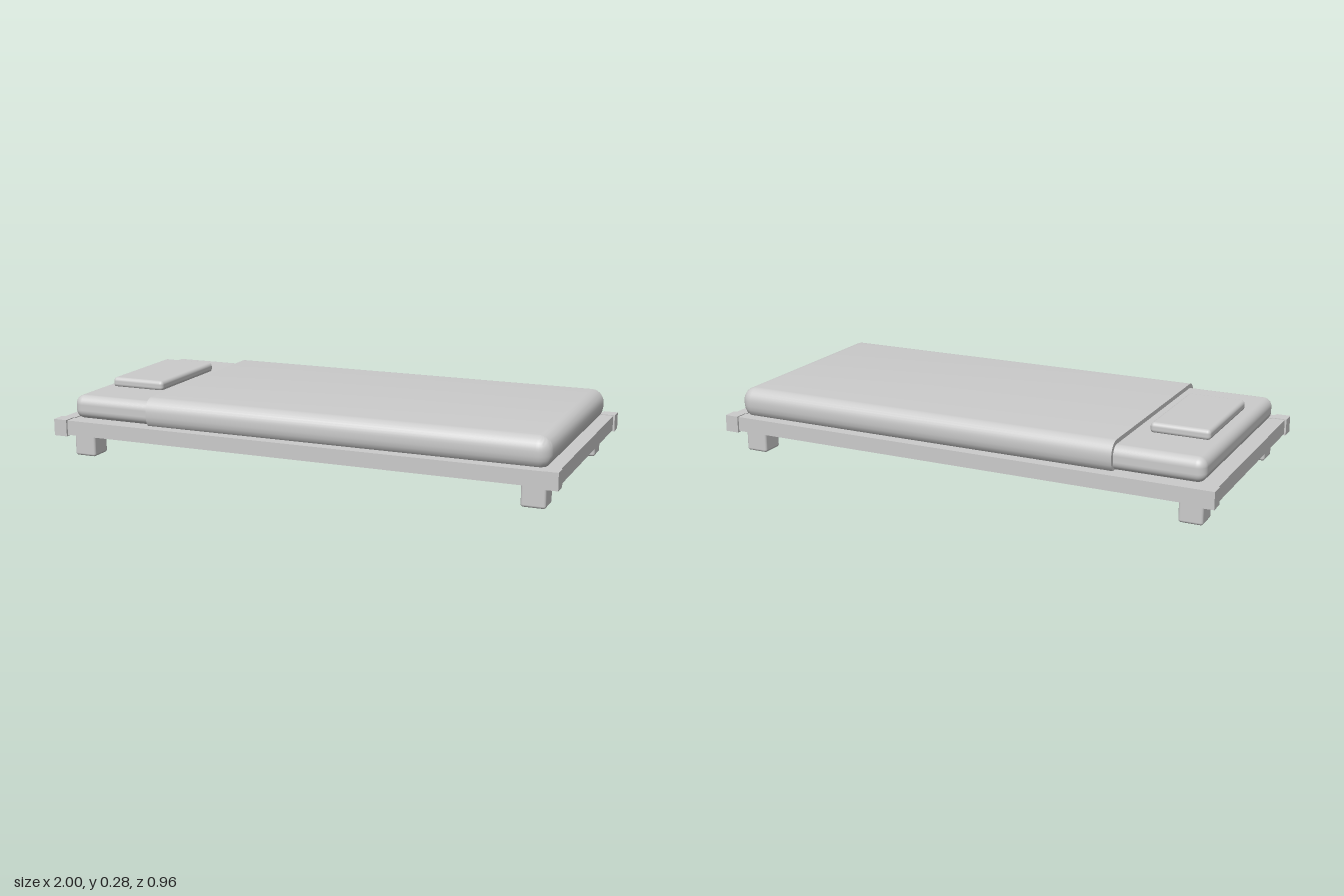
import * as THREE from 'three';
import { toCreasedNormals } from 'three/addons/utils/BufferGeometryUtils.js';
import { RoundedBoxGeometry } from 'three/addons/geometries/RoundedBoxGeometry.js';

const material = new THREE.MeshStandardMaterial({ color: 0xcccccc });

// Box given by its minimum and maximum corners; a radius rounds its edges
function box(name, [x0, y0, z0], [x1, y1, z1], radius = 0) {
  const size = [x1 - x0, y1 - y0, z1 - z0];
  const geometry = radius
    ? new RoundedBoxGeometry(...size, 5, radius)
    : new THREE.BoxGeometry(...size);
  const mesh = new THREE.Mesh(geometry, material);
  mesh.name = name;
  mesh.position.set((x0 + x1) / 2, (y0 + y1) / 2, (z0 + z1) / 2);
  return mesh;
}

// Blanket: stacked outlines, rounded at the foot and cut flat at the head
function blanketGeometry(head, foot, halfWidth) {
  const radius = 0.05, steps = 8, top = 0.256;
  const profile = [[0.018, 0.148], [0.009, 0.158], [0.003, 0.172], [0, 0.188]];
  for (let i = 0; i <= steps; i++) {
    const a = (i / steps) * Math.PI / 2;
    profile.push([radius * (1 - Math.cos(a)), top - radius + radius * Math.sin(a)]);
  }

  const positions = [], indices = [];
  const count = 2 * (steps + 1) + 2;
  for (const [inset, y] of profile) {
    const r = radius - inset;
    for (const side of [-1, 1]) {
      for (let i = 0; i <= steps; i++) {
        const a = (i / steps + (side < 0 ? -1 : 0)) * Math.PI / 2;
        positions.push(foot - radius + r * Math.cos(a), y,
          side * (halfWidth - radius) + r * Math.sin(a));
      }
    }
    positions.push(head, y, halfWidth - inset, head, y, -halfWidth + inset);
  }
  for (let j = 0; j < profile.length - 1; j++) {
    for (let i = 0; i < count; i++) {
      const a = j * count + i, b = j * count + (i + 1) % count;
      indices.push(a, a + count, b, b, a + count, b + count);
    }
  }
  // Flat top
  const centre = positions.length / 3, last = (profile.length - 1) * count;
  positions.push((head + foot) / 2, top, 0);
  for (let i = 0; i < count; i++) indices.push(centre, last + (i + 1) % count, last + i);

  const geometry = new THREE.BufferGeometry();
  geometry.setAttribute('position', new THREE.Float32BufferAttribute(positions, 3));
  geometry.setIndex(indices);
  return toCreasedNormals(geometry, 0.7);
}

export function createModel() {
  const bed = new THREE.Group();
  bed.name = 'bed';

  // Frame: base panel, four rails, corner blocks and feet
  const frame = new THREE.Group();
  frame.name = 'frame';
  frame.add(box('basePanel', [-0.95, 0.095, -0.43], [0.95, 0.146, 0.43]));
  for (const s of [-1, 1]) {
    const side = s < 0 ? 'right' : 'left';
    const z = [s * 0.425, s * 0.471].sort((a, b) => a - b);
    const x = [s * 0.945, s * 0.993].sort((a, b) => a - b);
    frame.add(box(s < 0 ? 'backRail' : 'frontRail', [-0.945, 0.092, z[0]], [0.945, 0.149, z[1]]));
    frame.add(box(side + 'EndRail', [x[0], 0.092, -0.425], [x[1], 0.149, 0.425]));
    for (const t of [-1, 1]) {
      const end = t < 0 ? 'Back' : 'Front';
      const block = box(side + end + 'CornerBlock', [-0.0275, 0.087, -0.0275], [0.0275, 0.152, 0.0275]);
      block.position.x = s * 0.9725;
      block.position.z = t * 0.4515;
      const foot = box(side + end + 'Foot', [-0.045, 0, -0.0465], [0.045, 0.105, 0.0465], 0.01);
      foot.position.x = s * 0.9;
      foot.position.z = t * 0.3785;
      frame.add(block, foot);
    }
  }
  bed.add(frame);

  // Bedding
  bed.add(box('mattress', [-0.945, 0.147, -0.425], [0.93, 0.239, 0.425], 0.035));
  bed.add(box('pillow', [-0.893, 0.235, -0.215], [-0.667, 0.275, 0.215], 0.015));
  const blanket = new THREE.Mesh(blanketGeometry(-0.612, 0.958, 0.442), material);
  blanket.name = 'blanket';
  bed.add(blanket);

  return bed;
}
